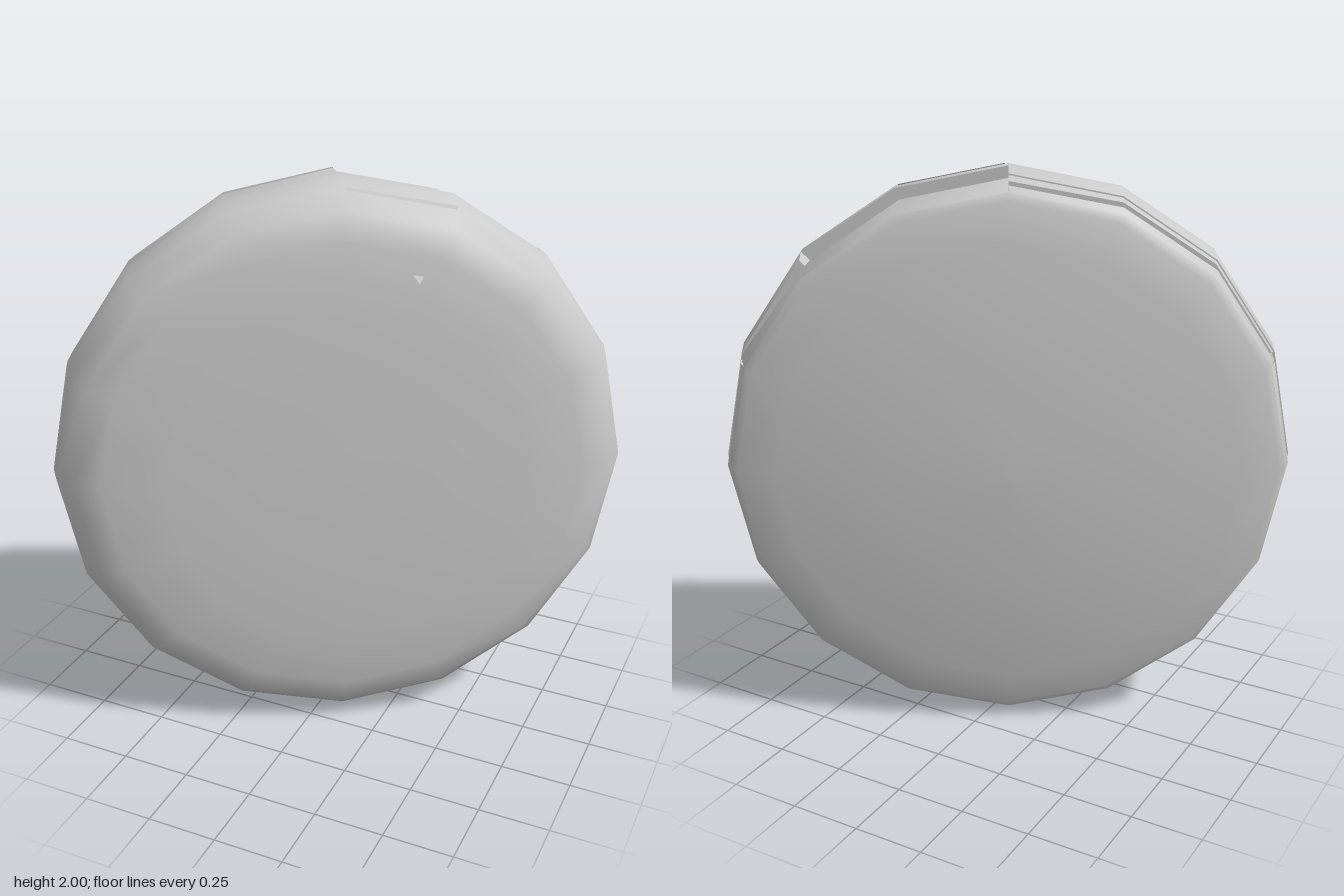
import * as THREE from 'three';

const material = new THREE.MeshStandardMaterial({ color: 0xcccccc, side: THREE.DoubleSide });
const SIDES = 16;
const STEP = 360 / SIDES;

function part(name, geometry) {
  const mesh = new THREE.Mesh(geometry, material);
  mesh.name = name;
  return mesh;
}

// Revolves a [radius, depth] profile about the z axis between two angles (degrees from +x),
// changing it steadily into endProfile on the way
function ring(name, profile, from = 0, to = 360, endProfile = profile) {
  const points = profile.map(([r, u]) => new THREE.Vector2(r, u));
  const segments = Math.round((to - from) / STEP);
  const geometry = new THREE.LatheGeometry(
    points, segments, THREE.MathUtils.degToRad(from + 90), THREE.MathUtils.degToRad(to - from));
  const position = geometry.attributes.position;
  for (let i = 0; i <= segments; i++) {
    const angle = THREE.MathUtils.degToRad(from + 90 + i * STEP);
    profile.forEach(([r0, u0], j) => {
      const [r1, u1] = endProfile[j];
      const r = THREE.MathUtils.lerp(r0, r1, i / segments);
      const u = THREE.MathUtils.lerp(u0, u1, i / segments);
      position.setXYZ(i * profile.length + j, r * Math.sin(angle), u, r * Math.cos(angle));
    });
  }
  return part(name, geometry.rotateX(Math.PI / 2));
}

// Small flat wall closing the end of a groove at a given angle
function endWall(name, outline, angle) {
  const shape = new THREE.Shape(outline.map(([r, u]) => new THREE.Vector2(r, u)));
  const geometry = new THREE.ShapeGeometry(shape);
  return part(name, geometry.rotateX(Math.PI / 2).rotateZ(THREE.MathUtils.degToRad(angle)));
}

// Rim cross-section with a groove between depths a and b, from back edge to lip
const grooveProfile = (a, b) => [[0.957, -0.195], [0.974, b], [0.95, b], [0.955, a], [0.98, a], [0.986, -0.065]];
const WIDE = grooveProfile(-0.067, -0.14);
const NARROW = grooveProfile(-0.135, -0.175);

export function createModel() {
  const disc = new THREE.Group();
  disc.name = 'disc';

  // Rounded front and shallow domed back
  disc.add(ring('frontShell', [
    [1, 0.03], [1, 0.07], [0.985, 0.15], [0.925, 0.222], [0.83, 0.254],
    [0.62, 0.275], [0.3, 0.284], [0, 0.286]]));
  disc.add(ring('backDome', [
    [0, -0.3], [0.41, -0.293], [0.8, -0.243], [0.93, -0.215], [0.957, -0.195]]));

  // Overhanging lip of the front shell, broken by the notch
  disc.add(ring('lip', [[0.991, -0.065], [1, 0.03]], 90, 405));
  disc.add(ring('lipEdge', [[0.955, -0.065], [0.991, -0.065]], 90, 405));

  // Notch in the lip
  disc.add(ring('notchFloor', [[0.957, -0.195], [0.965, -0.065], [0.958, 0.03]], 45, 90));
  disc.add(ring('notchFront', [[0.958, 0.03], [1, 0.03]], 45, 90));
  for (const angle of [45, 90]) {
    disc.add(endWall('notchEnd', [[0.958, 0.03], [1, 0.03], [0.991, -0.065], [0.96, -0.065]], angle));
  }

  // Back rim, sinking below the lip where it meets the notch
  const backRim = [[0.957, -0.195], [0.974, -0.15], [0.986, -0.065]];
  disc.add(ring('backRim', backRim, 157.5, 315));
  disc.add(ring('backRim', backRim, 22.5, 45, [[0.957, -0.195], [0.96, -0.15], [0.965, -0.065]]));

  // Two tapering grooves in the back rim, each flat run separate to keep its edges sharp
  for (const [from, to, start, end] of [[-45, 22.5, WIDE, NARROW], [90, 157.5, NARROW, WIDE]]) {
    for (let i = 0; i < start.length - 1; i++) {
      disc.add(ring('groove', start.slice(i, i + 2), from, to, end.slice(i, i + 2)));
    }
    disc.add(endWall('grooveEnd', start.slice(1, 5), from));
    disc.add(endWall('grooveEnd', end.slice(1, 5), to));
  }

  // Flat facet on the upper front edge
  const facet = new THREE.BufferGeometry();
  facet.setAttribute('position', new THREE.Float32BufferAttribute(
    [0.01, 0.985, 0.155, 0.24, 0.69, 0.272, 0.38, 0.912, 0.155], 3));
  facet.computeVertexNormals();
  disc.add(part('frontFacet', facet));

  // Stand the disc on its edge, turned to its left and leaning back slightly
  disc.rotation.set(-0.03, Math.PI / 6, 0, 'YXZ');
  disc.position.y = 1;
  const model = new THREE.Group();
  model.name = 'roundCase';
  model.add(disc);
  return model;
}
